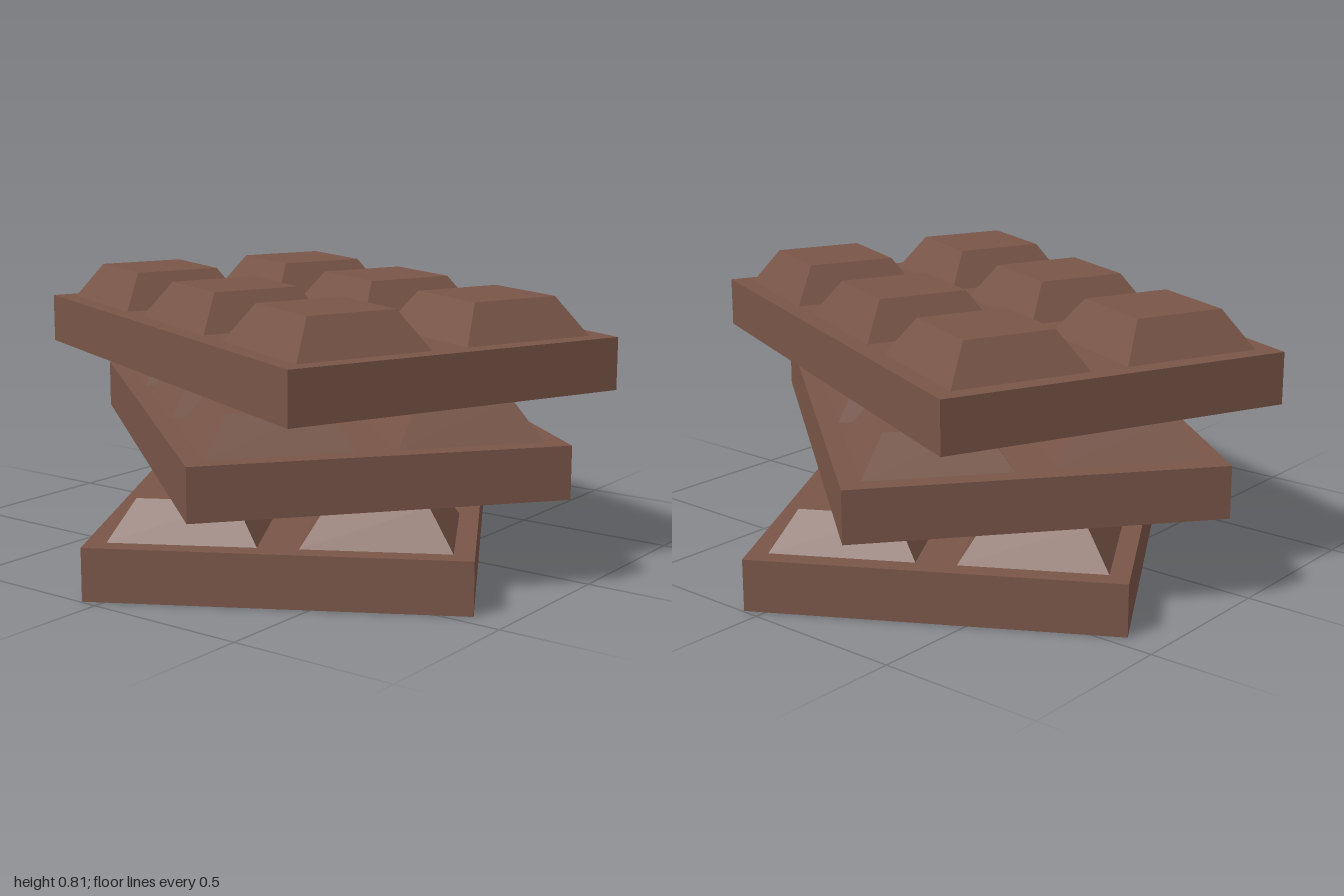
import * as THREE from 'three';

const W = 1.09, D = 1.67, SLAB = 0.156, PAD = 0.113;
const PAD_W = 0.427, PAD_D = 0.437, INSET = 0.072;

// Box whose top face is drawn inward on all four sides, standing on y = 0
function bevelledPad() {
  const geo = new THREE.BoxGeometry(PAD_W, PAD, PAD_D).translate(0, PAD / 2, 0);
  const p = geo.attributes.position;
  for (let i = 0; i < p.count; i++) {
    if (p.getY(i) < PAD / 2) continue;
    p.setX(i, p.getX(i) - Math.sign(p.getX(i)) * INSET);
    p.setZ(i, p.getZ(i) - Math.sign(p.getZ(i)) * INSET);
  }
  geo.computeVertexNormals();
  return geo;
}

export function createModel() {
  const model = new THREE.Group();
  model.name = 'chocolateStack';
  const chocolate = new THREE.MeshStandardMaterial({ color: 0x795548, flatShading: true });
  const slabGeo = new THREE.BoxGeometry(W, SLAB, D).translate(0, SLAB / 2, 0);
  const padGeo = bevelledPad();

  // One bar: a slab with a 2 x 3 grid of raised squares
  function makeBar(name, y, degrees) {
    const bar = new THREE.Group();
    bar.name = name;
    const slab = new THREE.Mesh(slabGeo, chocolate);
    slab.name = 'slab';
    bar.add(slab);
    for (let col = 0; col < 2; col++) {
      for (let row = 0; row < 3; row++) {
        const pad = new THREE.Mesh(padGeo, chocolate);
        pad.name = 'chocolateSquare';
        pad.position.set((col - 0.5) * W / 2, SLAB, (row - 1) * D / 3);
        bar.add(pad);
      }
    }
    bar.position.y = y;
    bar.rotation.y = THREE.MathUtils.degToRad(degrees);
    return bar;
  }

  // Three bars, each twisted against the one below
  model.add(
    makeBar('bottomBar', 0, -60),
    makeBar('middleBar', 0.273, -39.4),
    makeBar('topBar', 0.544, -23.5)
  );
  return model;
}
